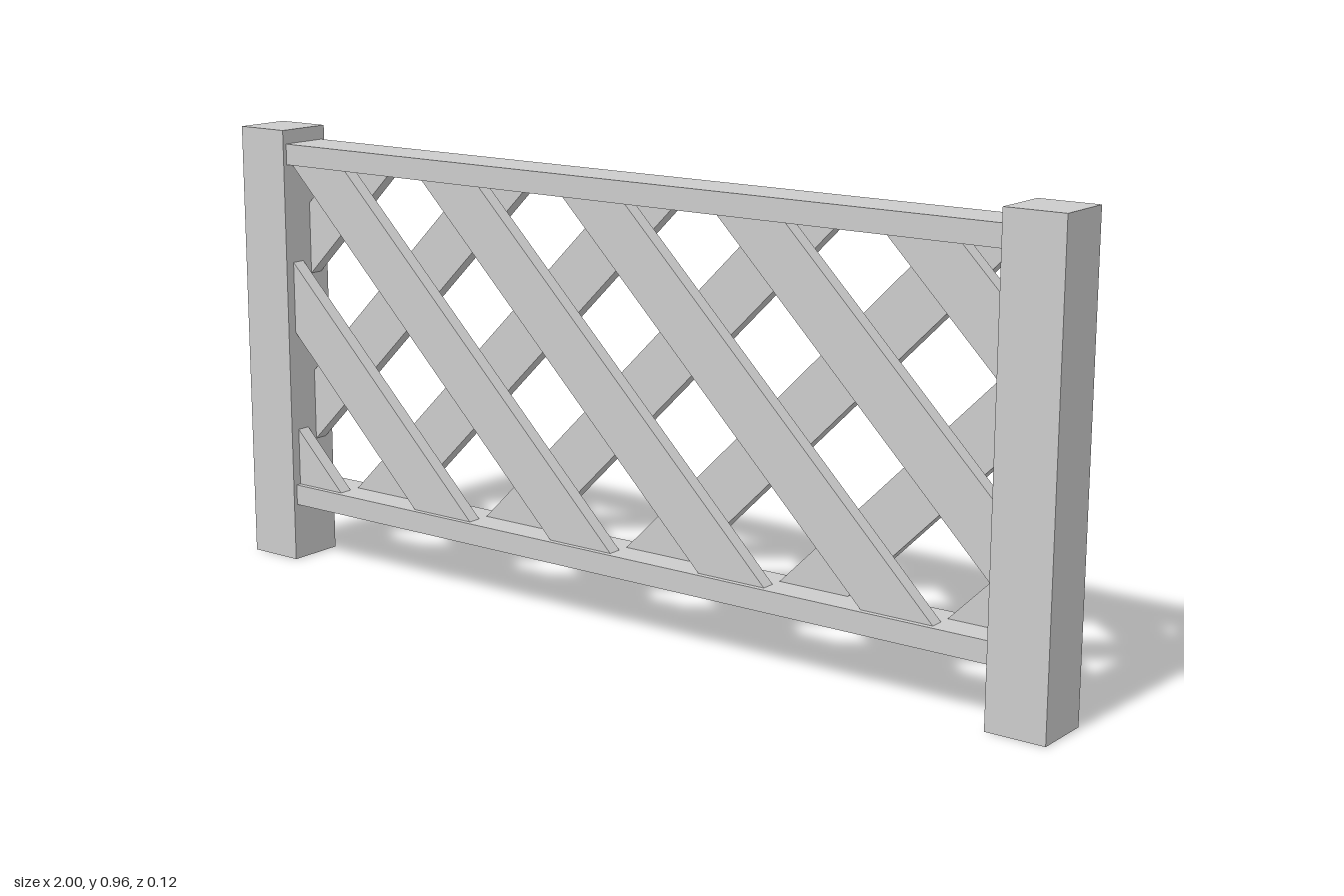
import * as THREE from 'three';

const INNER = 0.875;                 // inner face of each post
const BOTTOM = 0.17, TOP = 0.885;    // lattice opening between the rails
const PITCH = 0.375, SLAT = 0.156;   // horizontal spacing and horizontal width of slats

const grey = new THREE.MeshStandardMaterial({ color: 0xcccccc, flatShading: true });
const greyOpen = new THREE.MeshStandardMaterial({ color: 0xcccccc, flatShading: true, side: THREE.DoubleSide });

// Square post, hollow and open underneath
function post(name, side) {
  const geo = new THREE.BoxGeometry(0.125, 0.96, 0.125);
  const index = Array.from(geo.index.array);
  index.splice(18, 6);               // drop the bottom face
  geo.setIndex(index);
  geo.clearGroups();
  const mesh = new THREE.Mesh(geo, greyOpen);
  mesh.name = name;
  mesh.position.set(side * (INNER + 0.0625), 0.48, 0);
  return mesh;
}

function rail(name, y0, y1) {
  const mesh = new THREE.Mesh(new THREE.BoxGeometry(2 * INNER, y1 - y0, 0.107), grey);
  mesh.name = name;
  mesh.position.y = (y0 + y1) / 2;
  return mesh;
}

// Ends of the diagonal x + y = s where it meets the opening
function diagonal(s) {
  s = Math.max(s, BOTTOM - INNER);
  const x0 = Math.max(-INNER, s - TOP);
  const x1 = Math.min(INNER, s - BOTTOM);
  return [new THREE.Vector2(x0, s - x0), new THREE.Vector2(x1, s - x1)];
}

// One layer of parallel diagonal slats, trimmed flush to posts and rails
function slatLayer(name) {
  const layer = new THREE.Group();
  layer.name = name;
  for (let k = -2; k <= 4; k++) {
    const upper = BOTTOM + k * PITCH;
    const [a, b] = diagonal(upper - SLAT);
    const [d, c] = diagonal(upper);
    const outline = a.distanceTo(b) < 1e-4 ? [a, c, d] : [a, b, c, d];
    const geo = new THREE.ExtrudeGeometry(new THREE.Shape(outline), { depth: 0.03, bevelEnabled: false });
    const slat = new THREE.Mesh(geo, grey);
    slat.name = 'slat';
    slat.position.z = 0.012;
    layer.add(slat);
  }
  return layer;
}

export function createModel() {
  const model = new THREE.Group();
  model.name = 'latticeFence';

  model.add(post('leftPost', 1), post('rightPost', -1));
  model.add(rail('bottomRail', 0.125, BOTTOM), rail('topRail', TOP, 0.93));

  // The back layer is the front layer turned around, so the slats cross
  const back = slatLayer('backSlats');
  back.rotation.y = Math.PI;
  model.add(slatLayer('frontSlats'), back);

  return model;
}
